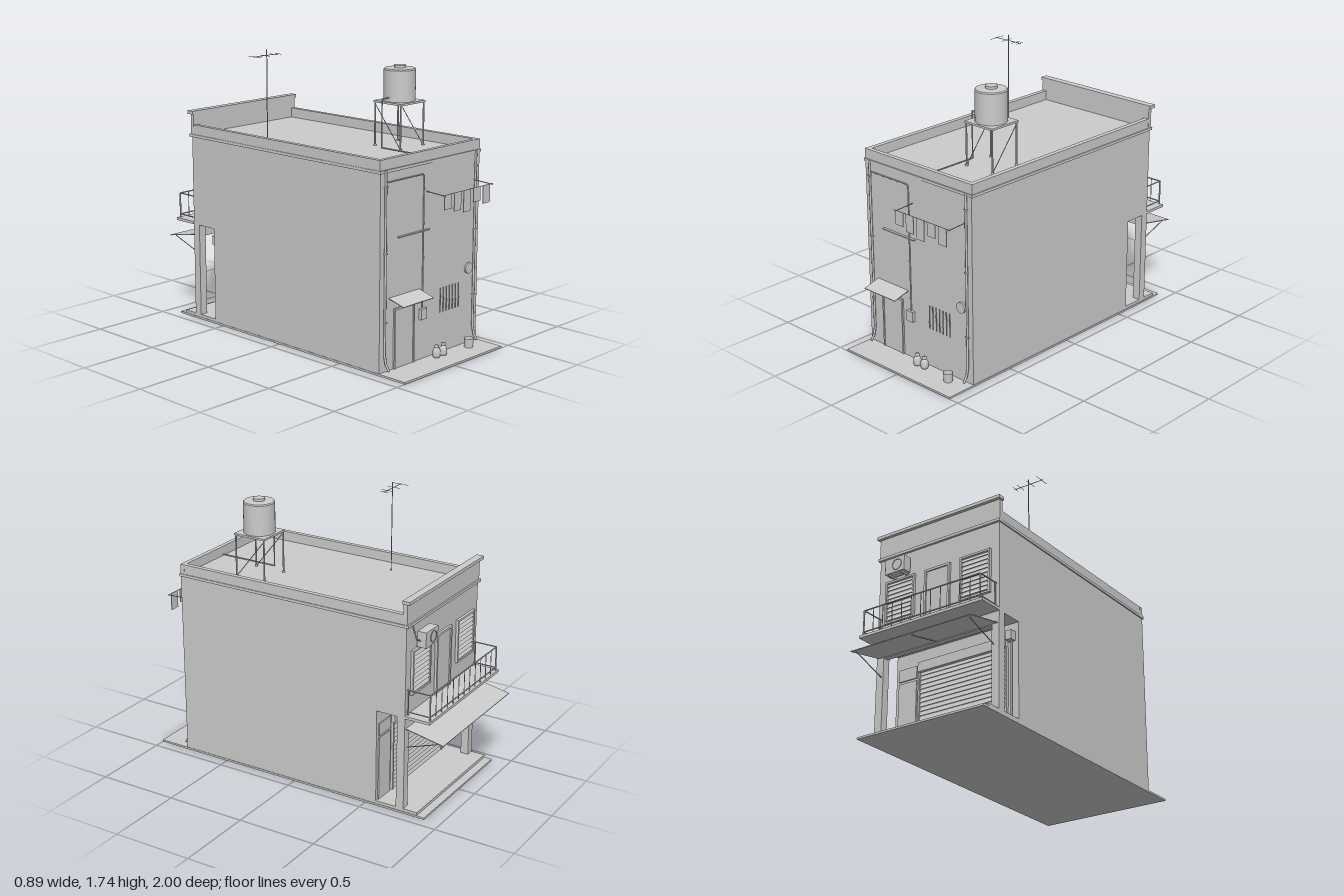
import * as THREE from 'three';

export function createModel() {
  const model = new THREE.Group();
  const plaster = new THREE.MeshStandardMaterial({ color: 0xcccccc });
  plaster.name = 'lightGrey';
  plaster.side = THREE.DoubleSide;

  let part = model;
  const group = (name) => {
    part = new THREE.Group();
    part.name = name;
    model.add(part);
    return part;
  };
  const add = (name, geo, x = 0, y = 0, z = 0) => {
    const m = new THREE.Mesh(geo, plaster);
    m.name = name;
    m.position.set(x, y, z);
    part.add(m);
    return m;
  };
  // box given by its ranges on each axis
  const box = (name, x0, x1, y0, y1, z0, z1) =>
    add(name, new THREE.BoxGeometry(x1 - x0, y1 - y0, z1 - z0), (x0 + x1) / 2, (y0 + y1) / 2, (z0 + z1) / 2);
  const rod = (name, a, b, r = 0.003, sides = 6) => {
    const p = new THREE.Vector3(...a), q = new THREE.Vector3(...b);
    const d = q.clone().sub(p);
    const m = add(name, new THREE.CylinderGeometry(r, r, d.length(), sides));
    m.position.copy(p).add(q).multiplyScalar(0.5);
    m.quaternion.setFromUnitVectors(new THREE.Vector3(0, 1, 0), d.normalize());
    return m;
  };
  const pipe = (name, pts, r) => {
    for (let i = 1; i < pts.length; i++) rod(name, pts[i - 1], pts[i], r, 8);
    for (const p of pts.slice(1, -1)) add(name + 'Elbow', new THREE.SphereGeometry(r, 8, 6), ...p);
  };
  // thin sloping sheet between an inner and an outer edge
  const sheet = (name, x0, x1, yIn, zIn, yOut, zOut, t = 0.005) => {
    const m = add(name, new THREE.BoxGeometry(x1 - x0, t, Math.hypot(yOut - yIn, zOut - zIn)),
      (x0 + x1) / 2, (yIn + yOut) / 2, (zIn + zOut) / 2);
    m.rotation.x = Math.atan2(-(yOut - yIn), zOut - zIn);
  };

  // Ground and building mass
  group('building');
  box('groundSlab', -0.435, 0.435, 0, 0.012, -0.895, 1);
  box('porchStep', -0.432, 0.432, 0.012, 0.03, -0.845, -0.57);
  box('groundFloor', -0.432, 0.432, 0.012, 0.61, -0.57, 0.805);
  box('upperFloor', -0.432, 0.432, 0.61, 1.18, -0.755, 0.805);
  for (const s of [-1, 1]) {
    const x = s * 0.407;
    box('porchColumn', x - 0.025, x + 0.025, 0.03, 0.61, -0.755, -0.705);
  }
  box('porchBeam', -0.382, 0.382, 0.53, 0.61, -0.755, -0.72);

  // Cornice band and parapets
  group('parapet');
  box('cornice', -0.44, 0.44, 1.163, 1.18, -0.77, 0.81);
  for (const s of [-1, 1]) {
    const x = s * 0.42;
    box('sideParapet', x - 0.015, x + 0.015, 1.18, 1.24, -0.737, 0.8);
  }
  box('frontParapet', -0.436, 0.436, 1.18, 1.24, 0.775, 0.803);
  box('backParapet', -0.436, 0.436, 1.18, 1.305, -0.76, -0.735);
  box('backParapetCap', -0.447, 0.447, 1.305, 1.325, -0.78, -0.733);

  // Water tank on its stand
  group('waterTank');
  const tx = 0.188, tz = 0.392;
  const profile = [[0, 1.45], [0.095, 1.45], [0.095, 1.635], [0.09, 1.642], [0.035, 1.645], [0.035, 1.66], [0, 1.66]];
  for (let i = 1; i < profile.length; i++) {
    add('tankShell', new THREE.LatheGeometry([profile[i - 1], profile[i]].map((p) => new THREE.Vector2(...p)), 32), tx, 0, tz);
  }
  box('tankPlatform', 0.08, 0.297, 1.438, 1.45, tz - 0.108, tz + 0.108);
  for (const sx of [-1, 1]) {
    for (const sz of [-1, 1]) {
      const x = tx + sx * 0.102, z = tz + sz * 0.1;
      rod('standLeg', [x, 1.18, z], [x, 1.44, z], 0.005, 8);
      add('standFoot', new THREE.CylinderGeometry(0.009, 0.009, 0.008, 8), x, 1.184, z);
    }
    const x = tx + sx * 0.102;
    rod('standBrace', [x, 1.18, tz + 0.1], [x, 1.43, tz - 0.1], 0.0025);
  }
  pipe('tankPipe', [[0.1, 1.475, tz], [0.035, 1.475, tz], [0.035, 1.187, tz], [0.035, 1.187, 0.775]], 0.004);

  // Roof antenna
  group('antenna');
  rod('mast', [-0.28, 1.18, -0.245], [-0.28, 1.735, -0.245], 0.003);
  rod('boom', [-0.385, 1.7, -0.245], [-0.175, 1.7, -0.245], 0.002);
  for (const [x, h] of [[-0.375, 0.055], [-0.295, 0.043], [-0.22, 0.037], [-0.185, 0.027]]) {
    rod('antennaElement', [x, 1.7, -0.245 - h], [x, 1.7, -0.245 + h], 0.0015);
  }

  // Front wall: door, canopy, grille and vent
  group('frontWall');
  box('doorLeaf', -0.305, -0.15, 0.012, 0.358, 0.805, 0.809);
  for (const x of [-0.315, -0.15]) box('doorJamb', x, x + 0.01, 0.012, 0.37, 0.805, 0.815);
  box('doorHead', -0.315, -0.14, 0.358, 0.37, 0.805, 0.815);
  sheet('doorCanopy', -0.355, -0.095, 0.438, 0.805, 0.408, 0.915);
  for (let i = 0; i < 7; i++) {
    const x = 0.087 + i * 0.0277;
    rod('grilleBar', [x, 0.258, 0.812], [x, 0.405, 0.812], 0.003);
  }
  const vent = add('wallVent', new THREE.CylinderGeometry(0.033, 0.033, 0.012, 24), 0.345, 0.475, 0.81);
  vent.rotation.x = Math.PI / 2;
  box('wallLedge', -0.285, -0.025, 0.777, 0.784, 0.805, 0.82);
  pipe('conduit', [[-0.388, 1.11, 0.81], [-0.08, 1.11, 0.81], [-0.07, 1.1, 0.81], [-0.07, 0.32, 0.81]], 0.004);
  box('junctionBox', -0.095, -0.045, 0.255, 0.32, 0.805, 0.825);
  for (const s of [-1, 1]) {
    const x = s * 0.393;
    pipe('downpipe', [[x, 1.18, 0.811], [x, 0.11, 0.811], [x, 0.06, 0.822], [x, 0.025, 0.845]], 0.007);
    for (const y of [0.3, 0.7, 1.08]) box('pipeClip', x - 0.01, x + 0.01, y, y + 0.008, 0.805, 0.82);
  }

  // Clothesline with washing
  group('clothesline');
  for (const x of [-0.04, 0.385]) rod('lineArm', [x, 1.003, 0.805], [x, 0.996, 0.945], 0.003);
  rod('line', [-0.055, 1, 0.937], [0.397, 1, 0.937], 0.002);
  [[-0.042, 0.022, 0.915], [0.044, 0.106, 0.893], [0.128, 0.191, 0.873], [0.215, 0.28, 0.917], [0.304, 0.368, 0.893]]
    .forEach(([a, b, y]) => box('hangingCloth', a, b, y, 1, 0.935, 0.939));

  // Gas bottles and bucket in the yard
  group('yardItems');
  const bottle = [[0, 0], [0.02, 0], [0.023, 0.012], [0.023, 0.04], [0.016, 0.054], [0.008, 0.058], [0.013, 0.06], [0.013, 0.072], [0, 0.072]];
  for (const x of [0.015, 0.075]) {
    add('gasBottle', new THREE.LatheGeometry(bottle.map((p) => new THREE.Vector2(...p)), 16), x, 0.012, 0.85);
  }
  add('bucket', new THREE.CylinderGeometry(0.029, 0.026, 0.056, 20, 1, true), 0.29, 0.04, 0.868);
  add('bucketBase', new THREE.CylinderGeometry(0.026, 0.026, 0.006, 20), 0.29, 0.016, 0.868);

  // Ground floor porch: door, roller shutter, meter
  group('shopFront');
  box('shopDoor', 0.28, 0.41, 0.03, 0.43, -0.578, -0.57);
  box('doorTransom', 0.28, 0.41, 0.445, 0.52, -0.578, -0.57);
  box('shutterBacking', -0.35, 0.25, 0.03, 0.47, -0.573, -0.57);
  for (let i = 0; i < 16; i++) {
    const y = 0.03 + i * 0.0275;
    sheet('shutterSlat', -0.35, 0.25, y + 0.026, -0.573, y + 0.003, -0.581, 0.003);
  }
  box('shutterHousing', -0.36, 0.26, 0.47, 0.53, -0.595, -0.57);
  for (const x of [-0.362, 0.25]) box('shutterGuide', x, x + 0.012, 0.03, 0.47, -0.586, -0.57);
  box('meterBox', -0.41, -0.37, 0.5, 0.555, -0.612, -0.57);
  rod('meterPipe', [-0.39, 0.03, -0.578], [-0.39, 0.5, -0.578], 0.006, 8);

  // Upper back wall: louvred windows, balcony door, air conditioner
  group('upperBackWall');
  for (const x of [-0.27, 0.27]) {
    const w = 0.1, y0 = 0.74, y1 = 1;
    for (const s of [-1, 1]) box('windowJamb', x + s * w - 0.006, x + s * w + 0.006, y0, y1, -0.772, -0.755);
    for (const y of [y0, y1]) box('windowRail', x - w - 0.006, x + w + 0.006, y - 0.006, y + 0.006, -0.772, -0.755);
    for (let i = 0; i < 9; i++) {
      const y = y0 + 0.012 + i * 0.0272;
      sheet('louvre', x - w, x + w, y + 0.022, -0.757, y, -0.77, 0.003);
    }
  }
  box('balconyDoor', -0.078, 0.078, 0.625, 0.99, -0.762, -0.755);
  for (const s of [-1, 1]) box('balconyDoorJamb', s * 0.084 - 0.007, s * 0.084 + 0.007, 0.625, 1.004, -0.77, -0.755);
  box('balconyDoorHead', -0.078, 0.078, 0.99, 1.004, -0.77, -0.755);
  box('airConditioner', 0.195, 0.335, 1.02, 1.115, -0.827, -0.77);
  const fan = add('fanRing', new THREE.TorusGeometry(0.033, 0.003, 6, 24), 0.25, 1.067, -0.828);
  fan.rotation.y = Math.PI;
  for (const x of [0.22, 0.31]) box('unitBracket', x - 0.005, x + 0.005, 1.01, 1.02, -0.82, -0.755);
  pipe('coolantPipe', [[0.335, 1.06, -0.79], [0.37, 1.08, -0.785], [0.37, 1.16, -0.76]], 0.004);

  // Balcony with railing
  group('balcony');
  box('balconySlab', -0.435, 0.435, 0.608, 0.625, -0.915, -0.755);
  const bx = 0.412, bz = -0.905;
  for (const y of [0.645, 0.78]) {
    rod('railBack', [-bx, y, bz], [bx, y, bz], 0.004);
    for (const s of [-1, 1]) rod('railSide', [s * bx, y, bz], [s * bx, y, -0.755], 0.004);
  }
  for (let i = 0; i <= 12; i++) {
    const x = -bx + (2 * bx * i) / 12;
    rod('baluster', [x, 0.625, bz], [x, 0.78, bz], i % 12 ? 0.0025 : 0.005);
  }
  for (const s of [-1, 1]) rod('wallPost', [s * bx, 0.625, -0.765], [s * bx, 0.78, -0.765], 0.004);

  // Shop awning with struts
  group('awning');
  sheet('awningSheet', -0.42, 0.42, 0.538, -0.755, 0.492, -0.998);
  for (const x of [-0.395, 0, 0.395]) rod('awningStrut', [x, x ? 0.413 : 0.535, -0.752], [x, 0.49, -0.975], 0.003);

  return model;
}
